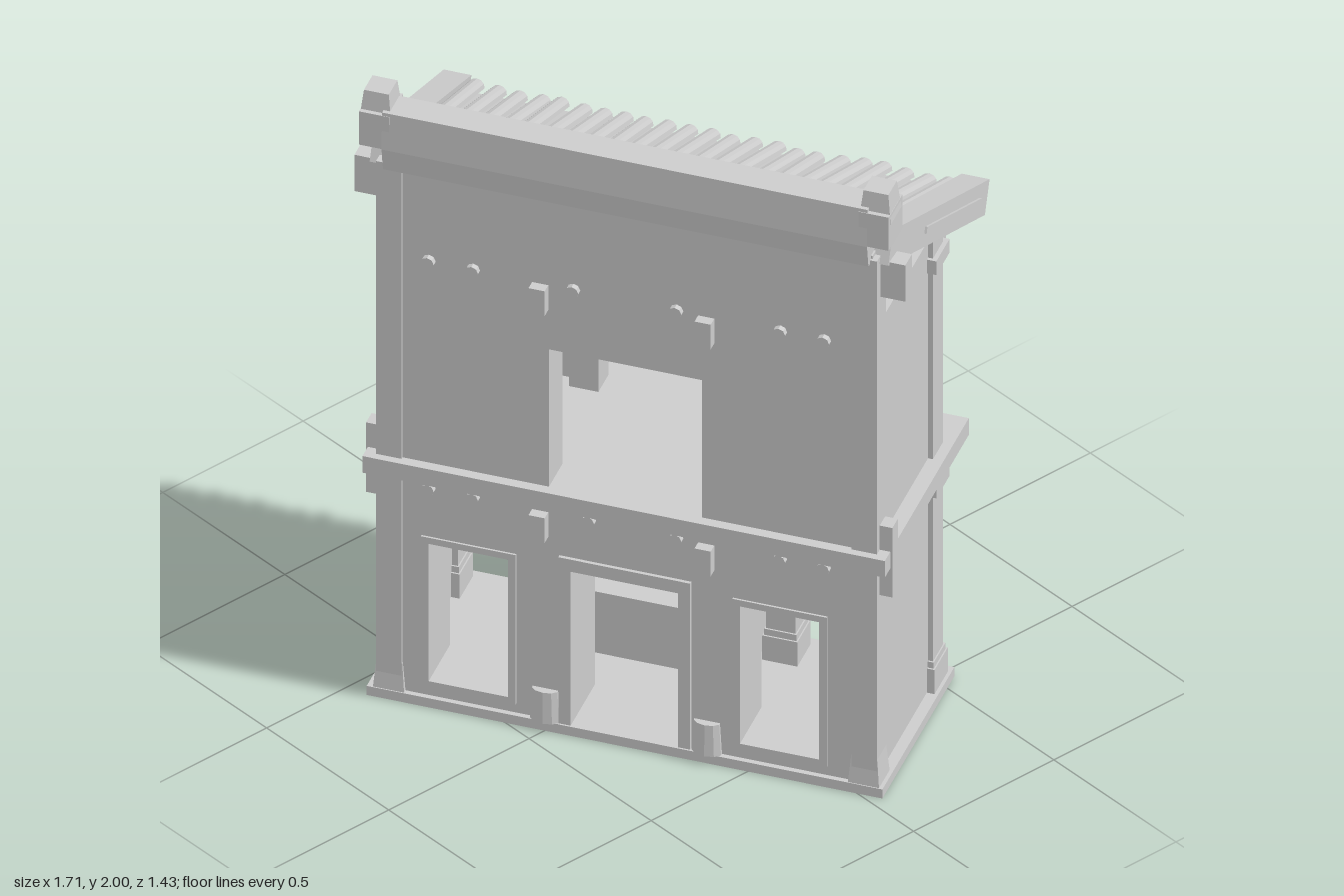
import * as THREE from 'three';

export function createModel() {
  const root = new THREE.Group();
  root.name = 'townHouse';
  const house = new THREE.Group();
  house.name = 'house';
  house.rotation.y = Math.PI / 6;
  root.add(house);

  const grey = new THREE.MeshStandardMaterial({ color: 0xcccccc, side: THREE.DoubleSide, flatShading: true });
  grey.name = 'plain grey';
  let seed = 7;
  const rand = () => (seed = (seed * 16807) % 2147483647) / 2147483647;

  const add = (name, geo, parent = house) => {
    const m = new THREE.Mesh(geo, grey);
    m.name = name;
    parent.add(m);
    return m;
  };
  const box = (name, x0, x1, y0, y1, z0, z1, parent) =>
    add(name, new THREE.BoxGeometry(x1 - x0, y1 - y0, z1 - z0)
      .translate((x0 + x1) / 2, (y0 + y1) / 2, (z0 + z1) / 2), parent);
  // box repeated on both sides of the house, about its slightly offset middle
  const mid = 0.008;
  const pair = (name, x0, x1, ...rest) => {
    box(name, mid + x0, mid + x1, ...rest);
    box(name, mid - x1, mid - x0, ...rest);
  };
  const rect = (x0, x1, y0, y1, Type = THREE.Shape) =>
    new Type([[x0, y0], [x1, y0], [x1, y1], [x0, y1]].map(p => new THREE.Vector2(...p)));
  // upright plate in the XY plane with rectangular holes
  const plate = (name, outer, holes, z0, z1) => {
    const s = rect(...outer);
    holes.forEach(h => s.holes.push(rect(...h, THREE.Path)));
    return add(name, new THREE.ExtrudeGeometry(s, { depth: z1 - z0, bevelEnabled: false }).translate(0, 0, z0));
  };
  // profile in (z, y) extruded along x
  const alongX = (name, pts, x0, x1) => {
    const s = new THREE.Shape(pts.map(p => new THREE.Vector2(...p)));
    return add(name, new THREE.ExtrudeGeometry(s, { depth: x1 - x0, bevelEnabled: false })
      .rotateY(-Math.PI / 2).translate(x1, 0, 0));
  };

  // Base and upper floor
  box('groundSlab', -0.728, 0.738, 0, 0.03, -0.21, 0.385);
  box('upperFloor', -0.735, 0.75, 0.745, 0.8, -0.295, 0.4);

  // Front wall with its openings and frames
  const windows = [[-0.555, -0.33, 0.08, 0.535], [0.33, 0.555, 0.08, 0.535]];
  const door = [-0.15, 0.155, 0.03, 0.54];
  const upperDoor = [-0.215, 0.22, 0.8, 1.255];
  plate('lowerFrontWall', [-0.69, 0.705, 0.01, 0.76], [...windows, door], 0.31, 0.37);
  plate('upperFrontWall', [-0.69, 0.705, 0.79, 1.78], [upperDoor], 0.31, 0.37);
  windows.forEach(([a, b, c, d]) =>
    plate('windowFrame', [a - 0.022, b + 0.022, c - 0.02, d + 0.02], [[a, b, c, d]], 0.36, 0.376));
  plate('doorFrame', [-0.185, 0.19, 0.03, 0.58], [door], 0.36, 0.38);
  // door and window leaves folded inward
  [[windows[0], 0.2], [windows[1], 0.2], [door, 0.18], [upperDoor, 0.26]].forEach(([[a, b, c, d], z]) => {
    box('openLeaf', a - 0.016, a, c, d, z, 0.32);
    box('openLeaf', b, b + 0.016, c, d, z, 0.32);
  });
  for (const x of [-0.225, 0.235]) {
    add('doorStone', new THREE.CylinderGeometry(0.038, 0.044, 0.1, 10).scale(1, 1, 0.6).translate(x, 0.08, 0.37));
  }

  // Gable walls with recessed tops, and corner columns
  pair('gableWall', 0.655, 0.698, 0.01, 1.52, -0.12, 0.35);
  for (const x of [-0.655, 0.64]) {
    alongX('gableTop', [[-0.15, 1.5], [0.3, 1.5], [0.3, 1.71], [-0.15, 1.53]], x, x + 0.025);
  }
  pair('frontColumn', 0.64, 0.712, 0.01, 1.77, 0.305, 0.378);
  for (const s of [-1, 1]) {
    const foot = new THREE.CylinderGeometry(0.052, 0.066, 0.12, 4).rotateY(Math.PI / 4);
    add('columnFoot', foot.translate(mid + s * 0.675, 0.06, 0.338));
  }
  pair('lowerTieBeam', 0.69, 0.748, 0.65, 0.88, 0.31, 0.355);
  pair('upperTieBeam', 0.66, 0.783, 1.635, 1.755, 0.295, 0.35);

  // Rear posts with feet, capitals and cross beams
  for (const x of [-0.672, -0.273, 0.288, 0.678]) {
    box('lowerPost', x - 0.042, x + 0.042, 0.03, 0.745, -0.17, -0.085);
    box('postFoot', x - 0.05, x + 0.05, 0.03, 0.11, -0.185, -0.075);
    box('postFootCap', x - 0.046, x + 0.046, 0.11, 0.13, -0.178, -0.08);
    box('upperPost', x - 0.042, x + 0.042, 0.8, 1.52, -0.17, -0.085);
    for (const y of [0.65, 1.39]) {
      const arm = [[-0.12, y], [-0.21, y], [-0.235, y + 0.035], [-0.235, y + 0.085], [-0.12, y + 0.085]];
      alongX('bracket', arm, x - 0.028, x + 0.028);
      box('capital', x - 0.055, x + 0.055, y + 0.03, y + 0.075, -0.185, -0.075);
    }
  }
  box('lowerLintel', -0.7, 0.71, 0.69, 0.745, -0.155, -0.1);
  box('upperLintel', -0.7, 0.71, 1.44, 1.52, -0.155, -0.1);
  box('eavePurlin', -0.7, 0.71, 1.46, 1.5, -0.25, -0.21);

  // Joists running through the house, round and square
  for (const y of [0.718, 1.47]) {
    for (const x of [-0.556, -0.43, y < 1 ? -0.1 : -0.145, 0.148, 0.443, 0.568]) {
      add('roundJoist', new THREE.CylinderGeometry(0.019, 0.019, 0.62, 8).rotateX(Math.PI / 2)
        .translate(x, y, 0.077));
    }
    for (const x of [-0.24, 0.232]) {
      box('squareJoist', x - 0.023, x + 0.023, y - 0.085, y - 0.003, -0.15, 0.4);
    }
  }

  // Shop counter in the middle bay
  box('counter', -0.225, 0.225, 0.03, 0.205, -0.205, 0.04);
  box('counterTop', -0.235, 0.235, 0.205, 0.24, -0.215, 0.05);

  // Upper side bays: railings and shutters
  for (const s of [-1, 1]) {
    const bay = new THREE.Group();
    bay.name = 'balconyBay';
    bay.scale.x = s;
    house.add(bay);
    box('shutter', 0.3, 0.37, 0.8, 1.4, -0.14, -0.125, bay);
    box('shutter', 0.46, 0.635, 0.8, 1.4, -0.14, -0.125, bay);
    box('shutterRail', 0.3, 0.635, 1.36, 1.4, -0.15, -0.12, bay);
    box('lowerPanel', 0.31, 0.63, 0.82, 0.89, -0.175, -0.163, bay);
    for (const y of [0.81, 0.89, 0.94, 0.985]) {
      box('handRail', 0.3, 0.635, y - 0.009, y + 0.009, -0.18, -0.155, bay);
    }
    for (let i = 0; i < 5; i++) {
      const x = 0.32 + i * 0.074;
      box('railPost', x - 0.008, x + 0.008, 0.8, 0.985, -0.178, -0.157, bay);
      if (i < 4) add('railKnob', new THREE.CylinderGeometry(0.014, 0.014, 0.012, 8)
        .rotateX(Math.PI / 2).translate(x + 0.037, 0.915, -0.169), bay);
    }
    add('clothTatter', new THREE.ConeGeometry(0.022, 0.12, 3).rotateX(Math.PI).translate(0.285, 1.25, -0.28), bay);
  }

  // Cloth awnings: curved strips sagging between the posts
  const cloth = (name, x0, x1, top, drop, sag, ragged) => {
    const g = new THREE.PlaneGeometry(1, 1, 12, 4);
    const p = g.attributes.position;
    for (let i = 0; i < p.count; i++) {
      const u = p.getX(i) + 0.5, v = 0.5 - p.getY(i);
      const dip = sag * 4 * u * (1 - u);
      const tear = v === 1 ? ragged * rand() : 0;
      p.setXYZ(i, x0 + (x1 - x0) * u, top - dip * (0.25 + v * 0.75) - drop * v * v - tear,
        -0.2 - 0.11 * Math.sin(v * Math.PI / 2));
    }
    g.computeVertexNormals();
    add(name, g);
  };
  cloth('middleAwning', -0.25, 0.26, 1.41, 0.1, 0.08, 0);
  cloth('sideAwning', 0.3, 0.65, 1.42, 0.09, 0.02, 0.04);
  cloth('sideAwning', -0.65, -0.3, 1.42, 0.09, 0.02, 0.04);

  // Sloping roof: boards, rows of tiles and gable bars that spread toward the eave
  const roof = new THREE.Group();
  roof.name = 'roof';
  roof.position.set(mid, 1.695, -0.025);
  roof.rotation.x = -0.4;
  house.add(roof);
  const spread = (g, zTop) => {
    const p = g.attributes.position;
    for (let i = 0; i < p.count; i++) p.setX(i, p.getX(i) * (1 + 0.07 * (zTop - p.getZ(i))));
    g.computeVertexNormals();
    return g;
  };
  add('roofBoards', spread(new THREE.BoxGeometry(1.33, 0.015, 0.69).translate(0, -0.04, 0.025), 0.38), roof);
  const rows = 23;
  for (let i = 0; i < rows; i++) {
    const t = i / (rows - 1);
    const len = 0.72 - 0.02 * Math.sin(t * Math.PI) + rand() * 0.012;
    const g = new THREE.CylinderGeometry(0.023, 0.023, len, 6, 1, false, 0, Math.PI)
      .rotateZ(Math.PI / 2).rotateY(Math.PI / 2);
    g.computeBoundingBox();
    if (g.boundingBox.max.y < 0.01) g.rotateZ(Math.PI);
    g.rotateY((rand() - 0.5) * 0.03).translate(-0.64 + 1.28 * t, -0.034 + rand() * 0.01, 0.37 - len / 2);
    add('tileRow', spread(g, 0.38), roof);
  }
  for (const s of [-1, 1]) {
    const bar = new THREE.BoxGeometry(0.075, 0.1, 0.745).translate(s * 0.7, -0.05, 0.0);
    add('gableBar', spread(bar, 0.37), roof);
    const trim = new THREE.BoxGeometry(0.012, 0.02, 0.42).translate(s * 0.738, -0.05, -0.1);
    add('gableTrim', spread(trim, 0.37), roof);
  }

  // Ridge cap and end posts
  alongX('ridgeCap', [[0.39, 1.757], [0.402, 1.83], [0.398, 1.95], [0.31, 1.95], [0.3, 1.757]], -0.68, 0.7);
  for (const s of [-1, 1]) {
    const x = mid + s * 0.71;
    box('ridgeBlock', x - 0.043, x + 0.043, 1.83, 1.94, 0.285, 0.4);
    const cap = new THREE.CylinderGeometry(0.05, 0.064, 0.09, 4).rotateY(Math.PI / 4);
    add('ridgePost', cap.translate(x, 1.955, 0.345));
  }
  return root;
}
